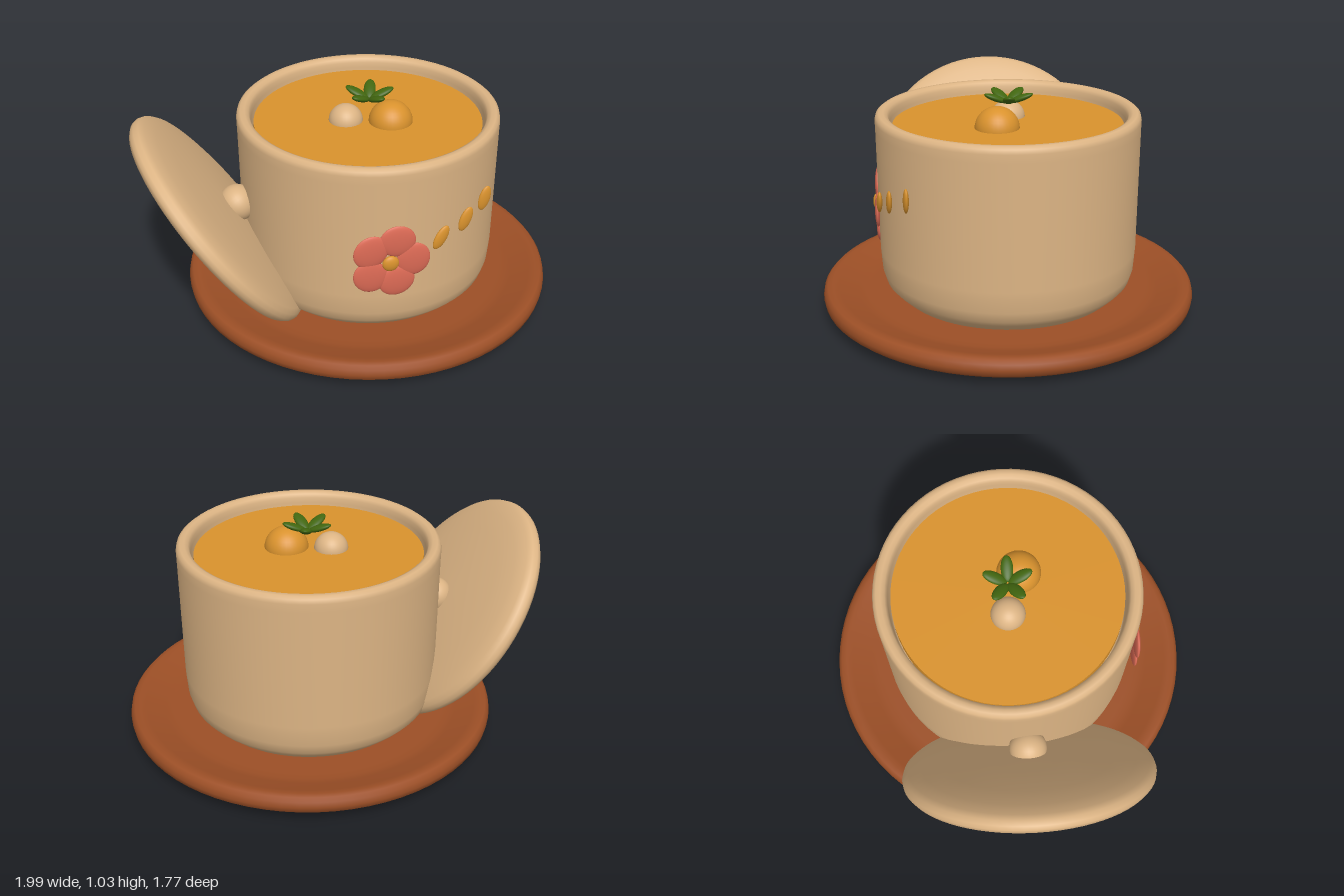
import * as THREE from 'three';

const material = (name, color) => {
  const m = new THREE.MeshStandardMaterial({ color });
  m.name = name;
  return m;
};

export function createModel() {
  const cream = material('cream ceramic', 0xdcb484);
  const brown = material('terracotta', 0x9c4f26);
  const orange = material('orange', 0xd9922d);
  const coral = material('coral', 0xdc6a55);
  const green = material('leaf green', 0x41660f);

  const model = new THREE.Group();
  model.name = 'soupPot';

  const add = (name, geometry, mat, parent = model) => {
    const mesh = new THREE.Mesh(geometry, mat);
    mesh.name = name;
    parent.add(mesh);
    return mesh;
  };
  const lathe = (pts) => new THREE.LatheGeometry(pts.map(([x, y]) => new THREE.Vector2(x, y)), 72);
  const ball = new THREE.SphereGeometry(1, 32, 20);
  const ellipsoid = (name, mat, parent, pos, size) => {
    const mesh = add(name, ball, mat, parent);
    mesh.position.set(...pos);
    mesh.scale.set(...size);
    return mesh;
  };

  const CX = 0.115; // shared axis of saucer and pot

  // Saucer with raised rim and shallow well
  add('saucer', lathe([
    [0, 0], [0.58, 0], [0.6, 0.002], [0.8, 0.024], [0.86, 0.038], [0.88, 0.055], [0.885, 0.08],
    [0.88, 0.105], [0.865, 0.122], [0.84, 0.125], [0.81, 0.118], [0.72, 0.088], [0.68, 0.08],
    [0.64, 0.08], [0, 0.08],
  ]), brown).position.x = CX;

  // Hollow pot with rounded foot and lip
  add('pot', lathe([
    [0, 0.075], [0.48, 0.075], [0.52, 0.085], [0.56, 0.122], [0.585, 0.15], [0.6, 0.2], [0.605, 0.27],
    [0.607, 0.3], [0.611, 0.88], [0.612, 0.92], [0.607, 0.94], [0.593, 0.951], [0.572, 0.951],
    [0.555, 0.942], [0.547, 0.925], [0.545, 0.9], [0.54, 0.82], [0.53, 0.8], [0, 0.8],
  ]), cream).position.x = CX;

  // Soup and dumplings
  const soup = add('soup', new THREE.CylinderGeometry(0.533, 0.533, 0.06, 72), orange);
  soup.position.set(CX, 0.86, 0);
  ellipsoid('orangeDumpling', orange, model, [0.21, 0.888, 0.055], [0.103, 0.1, 0.103]);
  ellipsoid('creamDumpling', cream, model, [0.01, 0.888, -0.005], [0.08, 0.078, 0.08]);

  // Herb garnish: five leaves rising outwards
  const herb = new THREE.Group();
  herb.name = 'herb';
  herb.position.set(0.12, 0.978, 0);
  model.add(herb);
  for (let i = 0; i < 5; i++) {
    const arm = new THREE.Group();
    arm.name = 'leafArm';
    arm.rotation.y = (i * 2 * Math.PI) / 5;
    herb.add(arm);
    const leaf = ellipsoid('leaf', green, arm, [0.06, 0.03, 0], [0.06, 0.015, 0.028]);
    leaf.rotation.z = 0.38;
  }

  // Lid leaning on the pot, knob towards the pot
  const lid = new THREE.Group();
  lid.name = 'lid';
  lid.position.set(-0.655, 0.459, 0.055);
  lid.rotation.z = -0.935;
  model.add(lid);
  add('lidPlate', lathe([
    [0, 0], [0.5, 0], [0.53, 0.001], [0.57, 0.01], [0.587, 0.03], [0.59, 0.05], [0.582, 0.072],
    [0.56, 0.09], [0.5, 0.106], [0.4, 0.122], [0.2, 0.138], [0, 0.143],
  ]), cream, lid);
  ellipsoid('lidKnob', cream, lid, [0, 0.16, 0], [0.088, 0.085, 0.088]);

  // Flower on the pot front
  const flower = new THREE.Group();
  flower.name = 'flower';
  flower.position.set(0.053, 0.49, 0.61);
  model.add(flower);
  for (let i = 0; i < 5; i++) {
    const a = (i * 2 * Math.PI) / 5;
    const petal = ellipsoid('petal', coral, flower,
      [0.108 * Math.cos(a), 0.108 * Math.sin(a), 0], [0.077, 0.083, 0.015]);
    petal.rotation.z = a;
  }
  ellipsoid('flowerCentre', orange, flower, [0, 0, 0.012], [0.038, 0.038, 0.018]);

  // Seeds trailing from the flower
  [[0.29, 0.57, 0.594, -0.5], [0.42, 0.615, 0.543, -0.36], [0.535, 0.66, 0.464, -0.24]]
    .forEach(([x, y, z, tilt]) => {
      const seed = ellipsoid('seed', orange, model, [x, y, z], [0.029, 0.061, 0.013]);
      seed.rotation.z = tilt;
      seed.rotation.y = 0.15;
    });

  return model;
}
